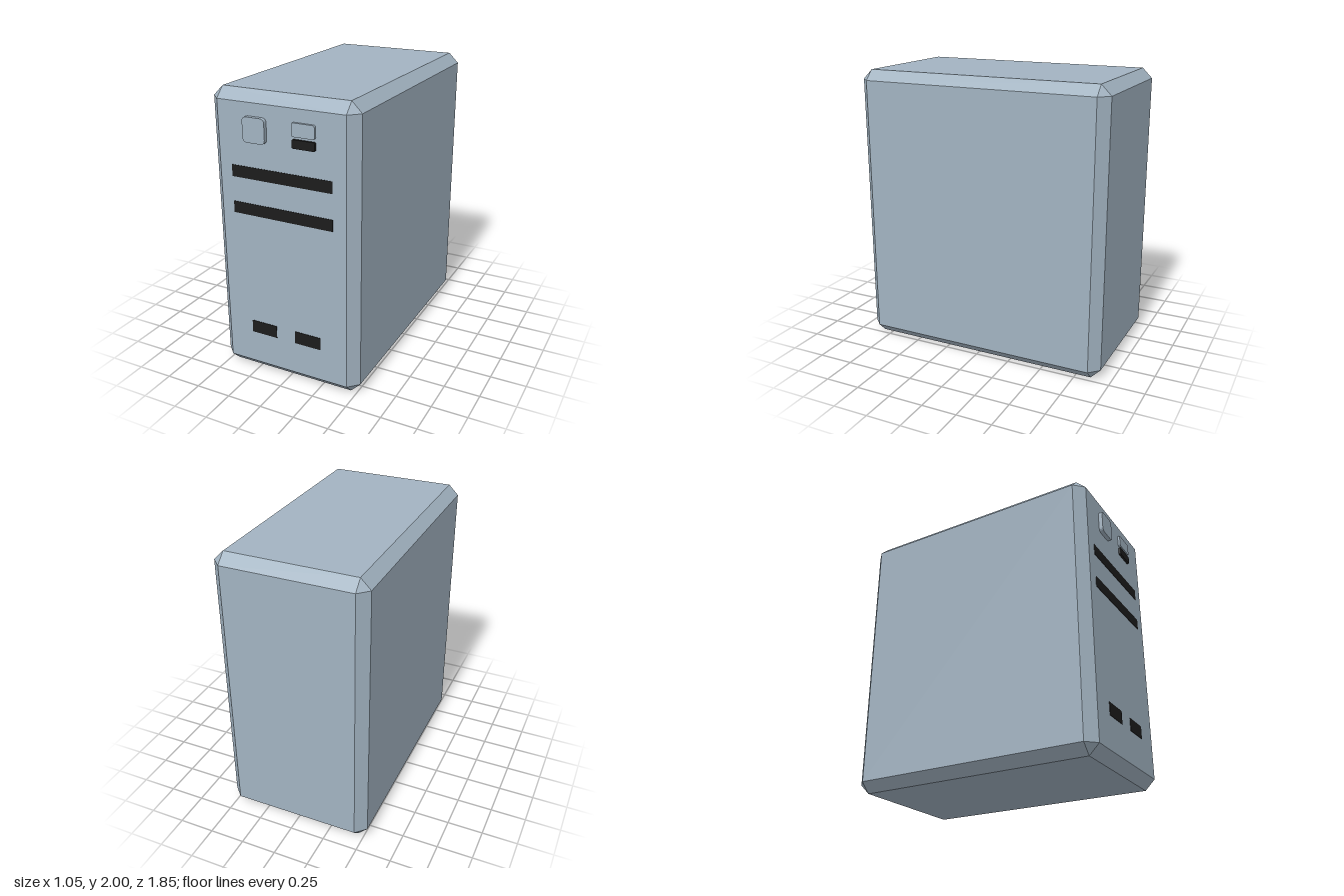
import * as THREE from 'three';
import { ConvexGeometry } from 'three/addons/geometries/ConvexGeometry.js';

const FRONT = 0.897, BACK = -0.925;

export function createModel() {
  const model = new THREE.Group();
  model.name = 'computerTower';
  const material = (name, color) => {
    const m = new THREE.MeshStandardMaterial({ color });
    m.name = name;
    return m;
  };
  const shell = material('blueGreyShell', 0xa2b3c1);
  const dark = material('darkPlastic', 0x1c1c1c);

  const add = (name, geometry, mat, x = 0, y = 0, z = 0) => {
    const mesh = new THREE.Mesh(geometry, mat);
    mesh.name = name;
    mesh.position.set(x, y, z);
    model.add(mesh);
  };

  // Case: a box with every edge chamfered, the hull of three points per corner
  const half = new THREE.Vector3(0.523, 1, (FRONT - BACK) / 2);
  const chamfer = 0.07;
  const points = [];
  for (const sx of [-1, 1]) for (const sy of [-1, 1]) for (const sz of [-1, 1]) {
    for (const axis of ['x', 'y', 'z']) {
      const p = half.clone().subScalar(chamfer);
      p[axis] = half[axis];
      points.push(p.multiply(new THREE.Vector3(sx, sy, sz)));
    }
  }
  add('case', new ConvexGeometry(points), shell, 0, 1, (FRONT + BACK) / 2);

  // Buttons: rounded rectangles standing out of the front
  const button = (name, mat, x0, x1, y0, y1, r, depth) => {
    const s = new THREE.Shape();
    s.moveTo(x0 + r, y0);
    s.lineTo(x1 - r, y0).quadraticCurveTo(x1, y0, x1, y0 + r);
    s.lineTo(x1, y1 - r).quadraticCurveTo(x1, y1, x1 - r, y1);
    s.lineTo(x0 + r, y1).quadraticCurveTo(x0, y1, x0, y1 - r);
    s.lineTo(x0, y0 + r).quadraticCurveTo(x0, y0, x0 + r, y0);
    const g = new THREE.ExtrudeGeometry(s, { depth, bevelEnabled: false, curveSegments: 4 });
    add(name, g, mat, 0, 0, FRONT);
  };
  button('powerButton', shell, -0.255, -0.095, 1.68, 1.845, 0.03, 0.028);
  button('resetButton', shell, 0.09, 0.25, 1.757, 1.845, 0.014, 0.016);
  button('indicator', dark, 0.09, 0.25, 1.683, 1.74, 0.01, 0.016);

  // Drive slots and lower vents: thin dark plates
  const plate = (name, x0, x1, y0, y1) => add(name,
    new THREE.BoxGeometry(x1 - x0, y1 - y0, 0.006), dark,
    (x0 + x1) / 2, (y0 + y1) / 2, FRONT);
  plate('upperDriveSlot', -0.365, 0.36, 1.43, 1.51);
  plate('lowerDriveSlot', -0.365, 0.36, 1.18, 1.26);
  plate('rightVent', -0.268, -0.075, 0.303, 0.393);
  plate('leftVent', 0.068, 0.262, 0.303, 0.393);

  return model;
}
